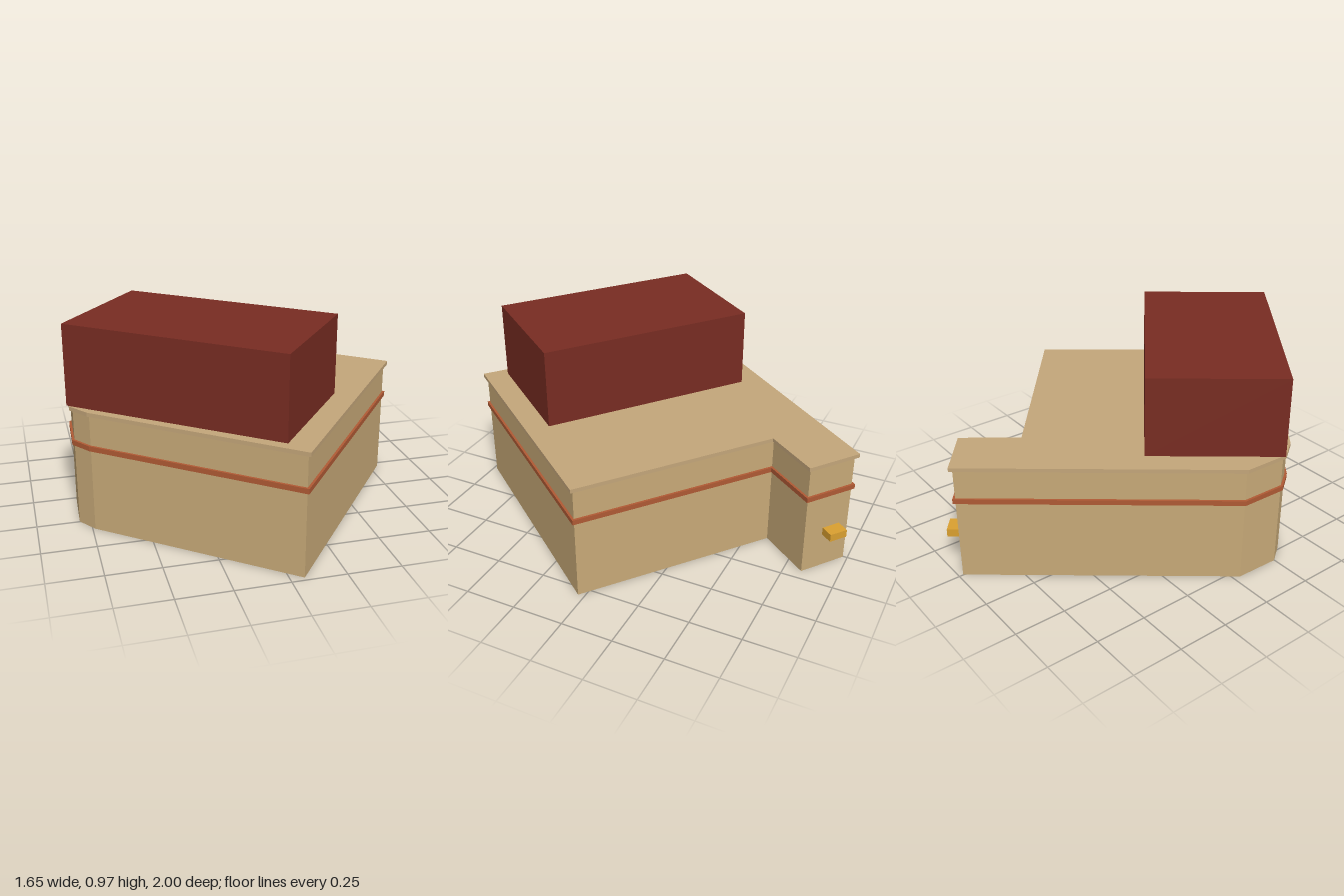
import * as THREE from 'three';

// Footprint of the walls as [x, z], clockwise seen from above
const footprint = [
  [0.003, -0.979], [0.195, -0.832], [0.02, -0.598], [0.8, 0.032],
  [0.064, 0.98], [-0.738, 0.336], [-0.801, 0.248], [-0.793, 0.034],
].map(([x, z]) => new THREE.Vector2(x, z));

const turn = -0.666; // the building's angle to the axes

const paint = (color, side = THREE.FrontSide) =>
  new THREE.MeshStandardMaterial({ color, side, flatShading: true });

// Outward normal of the footprint edge that starts at corner i
function edgeNormal(i) {
  const n = footprint.length;
  const d = footprint[(i + 1) % n].clone().sub(footprint[i % n]).normalize();
  return new THREE.Vector2(d.y, -d.x);
}

// Footprint grown outward by a constant margin with mitred corners
function grown(margin) {
  const n = footprint.length;
  return footprint.map((p, i) => {
    const a = edgeNormal(i + n - 1), b = edgeNormal(i);
    return p.clone().addScaledVector(a.clone().add(b), margin / (1 + a.dot(b)));
  });
}

// Flat slab over the grown footprint, from height y0 to y1
function slab(name, margin, y0, y1, material) {
  const shape = new THREE.Shape(grown(margin).map(p => new THREE.Vector2(p.x, -p.y)));
  const geometry = new THREE.ExtrudeGeometry(shape, { depth: y1 - y0, bevelEnabled: false });
  geometry.rotateX(-Math.PI / 2).translate(0, y0, 0);
  const mesh = new THREE.Mesh(geometry, material);
  mesh.name = name;
  return mesh;
}

// Box aligned with the building
function block(name, size, position, material) {
  const mesh = new THREE.Mesh(new THREE.BoxGeometry(...size), material);
  mesh.position.set(...position);
  mesh.rotation.y = turn;
  mesh.name = name;
  return mesh;
}

export function createModel() {
  const model = new THREE.Group();
  model.name = 'building';

  // Walls: one thin panel per footprint edge, open underneath
  const walls = new THREE.Group();
  walls.name = 'walls';
  const wallPaint = paint(0xc8aa78, THREE.DoubleSide);
  const height = 0.567;
  footprint.forEach((p, i) => {
    const q = footprint[(i + 1) % footprint.length];
    const normal = edgeNormal(i);
    const panel = new THREE.Mesh(new THREE.PlaneGeometry(p.distanceTo(q), height), wallPaint);
    panel.position.set((p.x + q.x) / 2, height / 2, (p.y + q.y) / 2);
    panel.rotation.y = Math.atan2(normal.x, normal.y);
    panel.name = 'wallPanel';
    walls.add(panel);
  });
  model.add(walls);

  // Floor band and roof slab, both overhanging the walls
  model.add(slab('floorBand', 0.011, 0.398, 0.422, paint(0xb05a34)));
  model.add(slab('roofSlab', 0.015, 0.567, 0.586, paint(0xc4a67a)));

  // Upper storey on the roof
  model.add(block('upperStorey', [1.058, 0.382, 0.629], [-0.216, 0.777, 0.317], paint(0x782c22)));

  // Small sign box on the end wall of the wing
  model.add(block('signBox', [0.091, 0.038, 0.069], [0.097, 0.199, -0.945], paint(0xdaa030)));

  return model;
}
